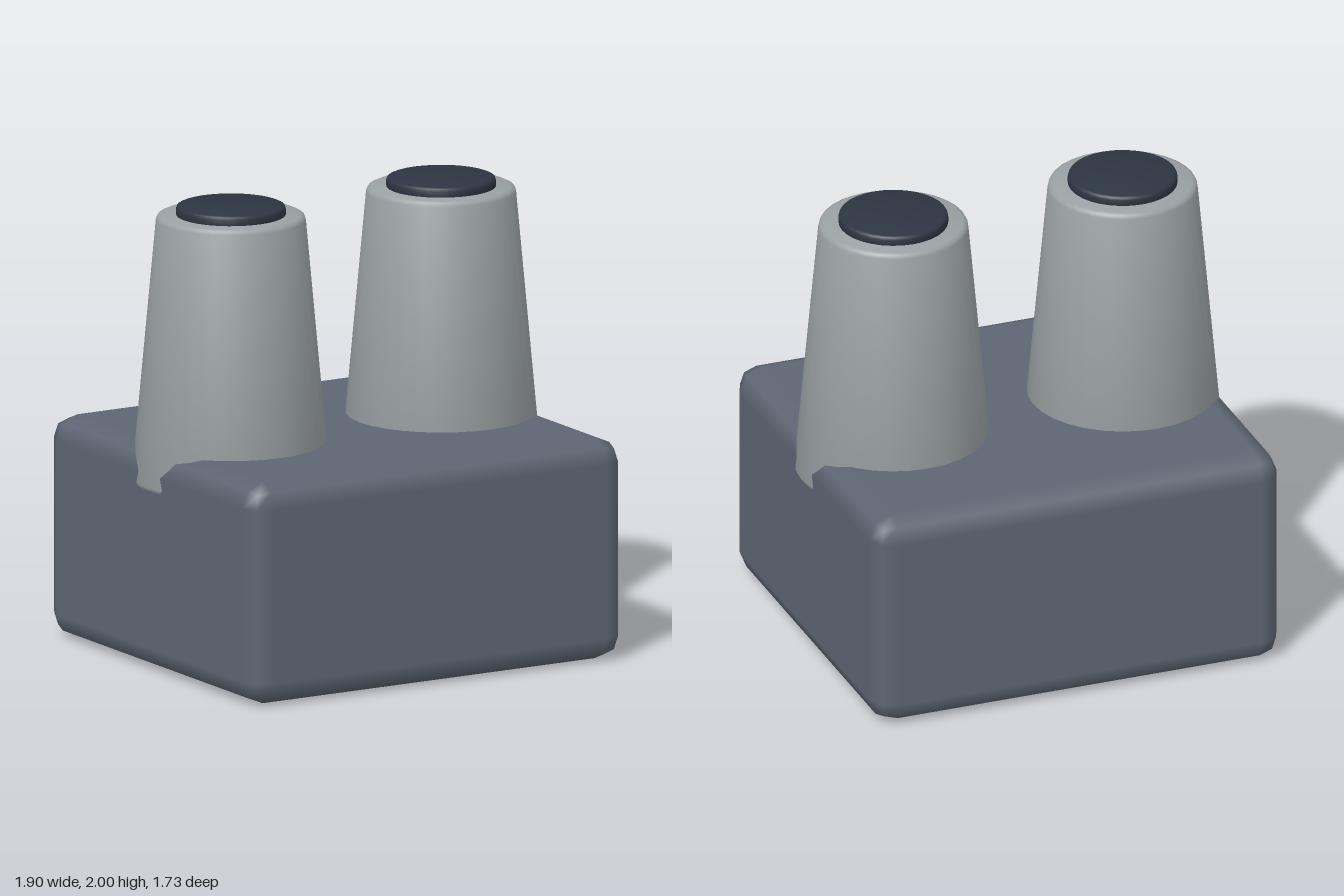
import * as THREE from 'three';
import { RoundedBoxGeometry } from 'three/addons/geometries/RoundedBoxGeometry.js';
import { toCreasedNormals } from 'three/addons/utils/BufferGeometryUtils.js';

const slate = new THREE.MeshStandardMaterial({ color: 0x5d6673 });
slate.name = 'slate';
const lightGrey = new THREE.MeshStandardMaterial({ color: 0x9aa1a4 });
lightGrey.name = 'light grey';
const darkNavy = new THREE.MeshStandardMaterial({ color: 0x2c3542 });
darkNavy.name = 'dark navy';

// Solid of revolution from [radius, height] pairs, listed bottom to top
function turned(name, profile, material) {
  const points = profile.map(([r, y]) => new THREE.Vector2(r, y));
  const geometry = toCreasedNormals(new THREE.LatheGeometry(points, 32), 0.9);
  const mesh = new THREE.Mesh(geometry, material);
  mesh.name = name;
  return mesh;
}

export function createModel() {
  const model = new THREE.Group();
  model.name = 'twinPostBlock';

  // Block with softened edges
  const base = new THREE.Mesh(new RoundedBoxGeometry(1.87, 0.97, 1.73, 1, 0.105), slate);
  base.name = 'base';
  base.position.y = 0.485;
  model.add(base);

  // Two tapered posts sunk into the block, each with a dark disc on top
  for (const side of [1, -1]) {
    const post = new THREE.Group();
    post.name = side > 0 ? 'leftPost' : 'rightPost';
    post.position.x = side * 0.526;
    post.add(
      turned('postBody', [
        [0, 0.79], [0.405, 0.79], [0.419, 0.796], [0.424, 0.812],
        [0.321, 1.938], [0.315, 1.953], [0.3, 1.96], [0, 1.96],
      ], lightGrey),
      turned('postCap', [
        [0, 1.94], [0.225, 1.94], [0.235, 1.955], [0.235, 1.985],
        [0.231, 1.996], [0.221, 2], [0, 2],
      ], darkNavy),
    );
    model.add(post);
  }
  return model;
}
